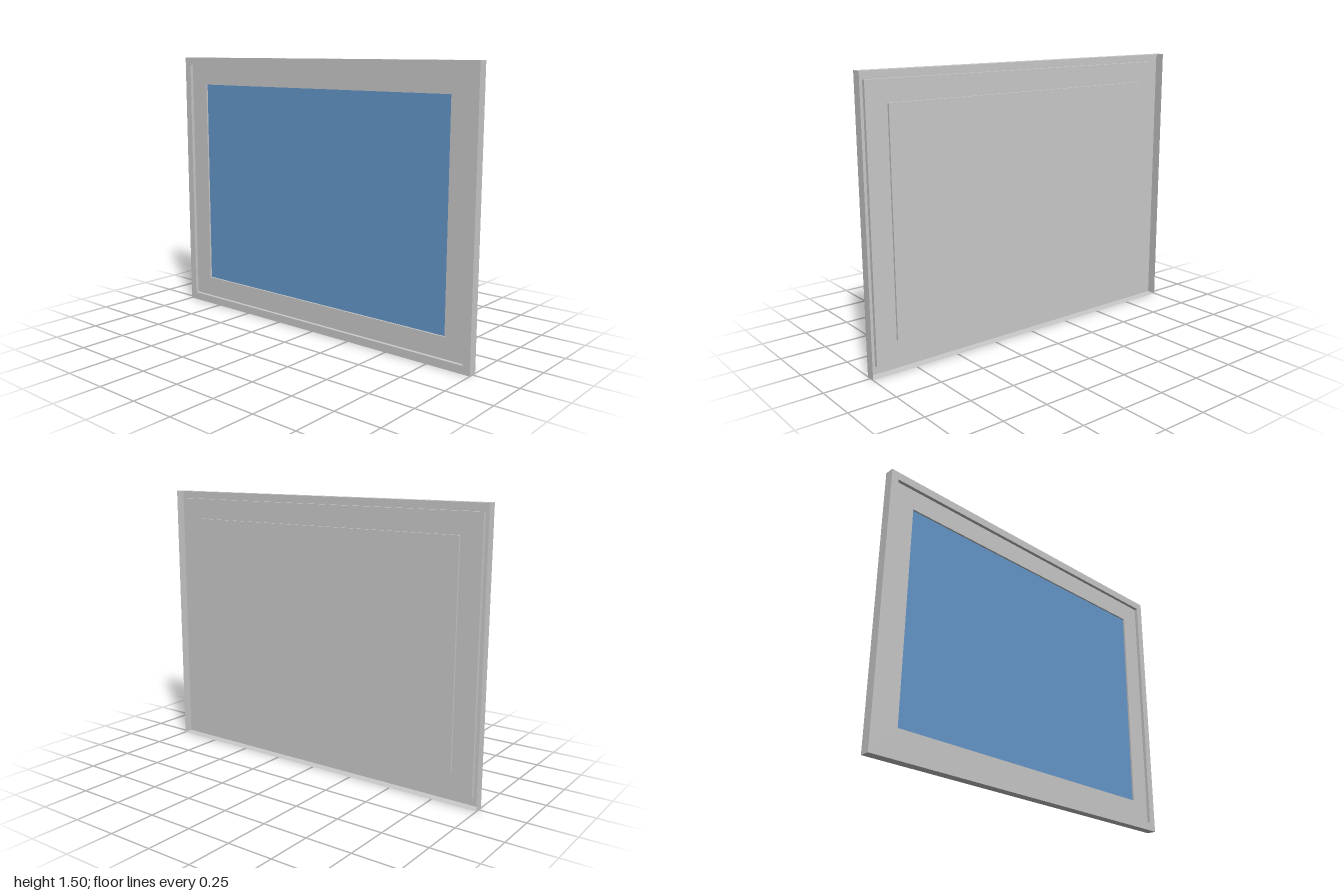
import * as THREE from 'three';

const CENTER_Y = 0.75;
const material = (color) => new THREE.MeshStandardMaterial({ color, side: THREE.DoubleSide, flatShading: true });
const grey = material(0xcccccc);

// Thin sheet joining nested rectangles, each given as [half width, half height, z]
function rectLoft(name, rings) {
  const corners = ([w, h, z]) => [[-w, -h, z], [w, -h, z], [w, h, z], [-w, h, z]];
  const pos = [];
  for (let r = 0; r < rings.length - 1; r++) {
    const a = corners(rings[r]), b = corners(rings[r + 1]);
    for (let i = 0; i < 4; i++) {
      const j = (i + 1) % 4;
      pos.push(...a[i], ...a[j], ...b[j], ...a[i], ...b[j], ...b[i]);
    }
  }
  const geo = new THREE.BufferGeometry();
  geo.setAttribute('position', new THREE.Float32BufferAttribute(pos, 3));
  geo.computeVertexNormals();
  const mesh = new THREE.Mesh(geo, grey);
  mesh.name = name;
  mesh.position.y = CENTER_Y;
  return mesh;
}

export function createModel() {
  const group = new THREE.Group();
  group.name = 'framedPicture';

  const front = 0.026, back = -0.026, matZ = 0.007, pictureZ = -0.003, backingZ = -0.005;
  const outer = [1, 0.75], rim = [0.958, 0.706], opening = [0.842, 0.592];

  // Open-backed frame: side walls, front border, inner lip
  group.add(rectLoft('frame', [[...outer, back], [...outer, front], [...rim, front], [...rim, matZ]]));

  // Recessed mat with a shallow step down to the picture
  group.add(rectLoft('mat', [[...rim, matZ], [...opening, matZ], [...opening, backingZ]]));

  // Coloured picture with a plain backing sheet just behind it
  const sheet = new THREE.PlaneGeometry(opening[0] * 2, opening[1] * 2);
  const picture = new THREE.Mesh(sheet, material(0x6699cc));
  picture.name = 'picture';
  picture.position.set(0, CENTER_Y, pictureZ);
  const backing = new THREE.Mesh(sheet, grey);
  backing.name = 'backing';
  backing.position.set(0, CENTER_Y, backingZ);
  backing.rotation.y = Math.PI;
  group.add(picture, backing);

  return group;
}
